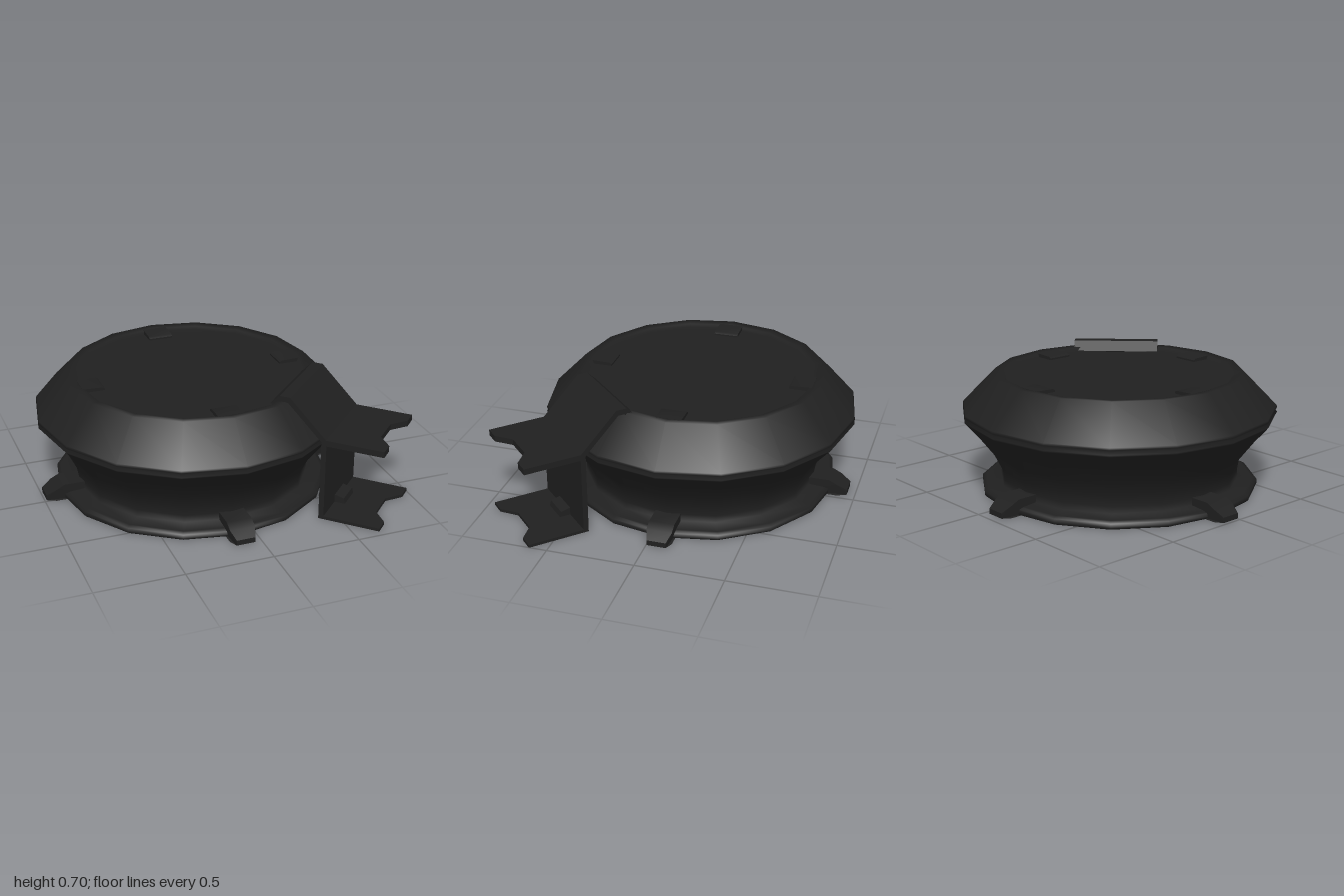
import * as THREE from 'three';
import { toCreasedNormals } from 'three/addons/utils/BufferGeometryUtils.js';

const black = new THREE.MeshStandardMaterial({ color: 0x202020 });
black.name = 'matte black';

const vec = ([x, y]) => new THREE.Vector2(x, y);

function part(name, geometry) {
  const mesh = new THREE.Mesh(geometry, black);
  mesh.name = name;
  return mesh;
}

// Side profile of [outward distance, height] points, extruded across its width;
// points farther out than taperFrom are narrowed
function strip(name, points, width, taperFrom = Infinity) {
  const g = new THREE.ExtrudeGeometry(new THREE.Shape(points.map(vec)), { depth: width, bevelEnabled: false });
  g.rotateY(-Math.PI / 2);
  g.translate(width / 2, 0, 0);
  const p = g.attributes.position;
  for (let i = 0; i < p.count; i++) if (p.getZ(i) > taperFrom) p.setX(i, p.getX(i) * 0.75);
  return part(name, toCreasedNormals(g, 0.6));
}

// Horizontal shelf with a notched outer edge
function shelf(name, y, thickness) {
  const half = [[0.256, 0.89], [0.255, 1.237], [0.172, 1.237], [0.085, 1.163]];
  const outline = [...half, ...half.map(([x, z]) => [-x, z]).reverse()];
  const g = new THREE.ExtrudeGeometry(new THREE.Shape(outline.map(vec)), { depth: thickness, bevelEnabled: false });
  g.rotateX(Math.PI / 2);
  g.translate(0, y, 0);
  return part(name, g);
}

export function createModel() {
  const model = new THREE.Group();
  model.name = 'dish stand';
  const body = new THREE.Group();
  body.name = 'body';
  body.position.set(-0.095, 0, -0.06);
  model.add(body);

  // Sixteen-sided dish: flanged base, flared neck, grooved rim, shallow top
  const profile = [
    [0, 0], [0.79, 0], [0.8, 0.01], [0.8, 0.035], [0.775, 0.045], [0.69, 0.052],
    [0.685, 0.09], [0.695, 0.15], [0.74, 0.24], [0.825, 0.35], [0.895, 0.43],
    [0.905, 0.443], [0.892, 0.456], [0.905, 0.47], [0.9, 0.482], [0.712, 0.675],
    [0.662, 0.67], [0.655, 0.65], [0, 0.65],
  ];
  body.add(part('dish', new THREE.LatheGeometry(profile.map(vec), 16)));

  // Four feet around the base and four low tabs inside the rim
  for (let i = 0; i < 4; i++) {
    const foot = strip('foot', [
      [0.66, 0], [0.84, 0], [0.895, 0.005], [0.895, 0.035], [0.84, 0.07], [0.79, 0.095], [0.66, 0.095],
    ], 0.145, 0.87);
    const tab = strip('rimTab', [
      [0.53, 0.64], [0.66, 0.64], [0.66, 0.672], [0.545, 0.668], [0.53, 0.66],
    ], 0.145);
    foot.rotation.y = tab.rotation.y = i * Math.PI / 2;
    body.add(foot, tab);
  }

  // Bracket hooked over the rim at the front left corner
  const mount = new THREE.Group();
  mount.name = 'bracketMount';
  mount.rotation.y = Math.PI / 4;
  body.add(mount);
  const bracket = new THREE.Group();
  bracket.name = 'bracket';
  bracket.position.set(0.053, 0, 0.007);
  mount.add(bracket);

  const width = 0.512;
  bracket.add(strip('rimHook', [
    [0.91, 0.455], [0.91, 0.487], [0.69, 0.705], [0.63, 0.705], [0.575, 0.652],
    [0.59, 0.64], [0.645, 0.672], [0.68, 0.672], [0.88, 0.475], [0.88, 0.455],
  ], width));
  bracket.add(strip('frontWall', [[0.88, 0], [0.91, 0], [0.91, 0.46], [0.88, 0.46]], width));
  bracket.add(shelf('upperShelf', 0.49, 0.035));
  bracket.add(shelf('lowerShelf', 0.018, 0.018));

  // Small stop at the foot of the wall
  bracket.add(strip('shelfStop', [[0.905, 0.01], [0.975, 0.01], [0.965, 0.05], [0.905, 0.065]], 0.145));

  return model;
}
